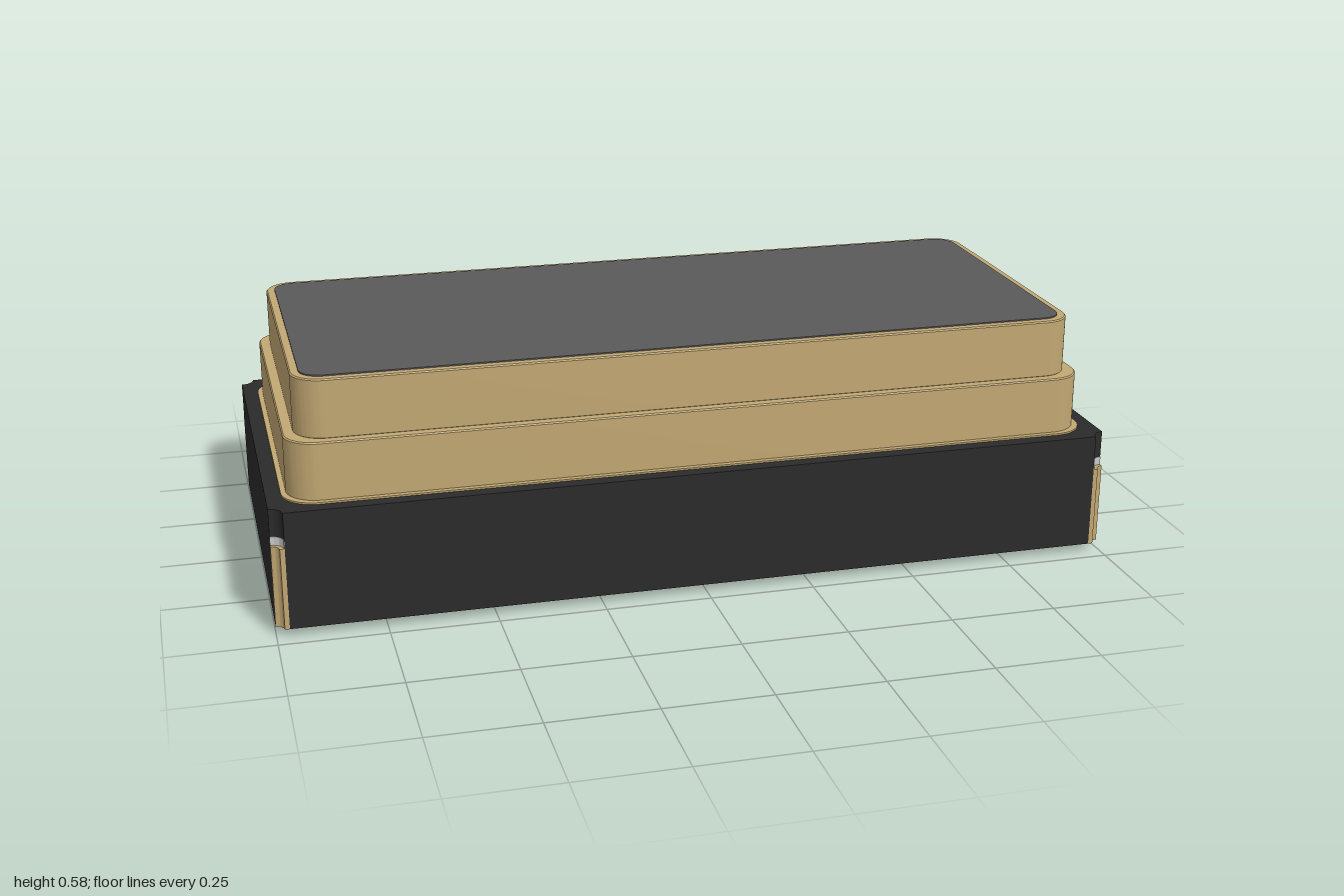
import * as THREE from 'three';
import { toCreasedNormals } from 'three/addons/utils/BufferGeometryUtils.js';

const mat = (color) => new THREE.MeshStandardMaterial({ color });

// Rectangle with rounded corners, half sizes a and b, corner radius r
function roundedRect(a, b, r) {
  const s = new THREE.Shape();
  s.absarc(a - r, b - r, r, 0, Math.PI / 2);
  s.absarc(-a + r, b - r, r, Math.PI / 2, Math.PI);
  s.absarc(-a + r, -b + r, r, Math.PI, Math.PI * 1.5);
  s.absarc(a - r, -b + r, r, Math.PI * 1.5, Math.PI * 2);
  s.closePath();
  return s;
}

// Rectangle with a quarter circle cut out of each corner
function notchedRect(a, b, r) {
  const s = new THREE.Shape(), q = Math.PI / 2;
  s.absarc(a, b, r, -q, -2 * q, true);
  s.absarc(-a, b, r, 0, -q, true);
  s.absarc(-a, -b, r, q, 0, true);
  s.absarc(a, -b, r, 2 * q, q, true);
  s.closePath();
  return s;
}

// Curved strip lining a corner notch
function notchLining(outer, inner) {
  const s = new THREE.Shape();
  s.absarc(0, 0, outer, Math.PI, Math.PI * 1.5);
  s.absarc(0, 0, inner, Math.PI * 1.5, Math.PI, true);
  s.closePath();
  return s;
}

// Upright slab from a floor plan between two heights
function slab(name, shape, y0, y1, material, bevel = 0) {
  const g = new THREE.ExtrudeGeometry(shape, {
    depth: y1 - y0 - 2 * bevel, curveSegments: 10,
    bevelEnabled: bevel > 0, bevelSize: bevel, bevelThickness: bevel,
    bevelOffset: -bevel, bevelSegments: 1,
  });
  g.rotateX(-Math.PI / 2);
  g.translate(0, y0 + bevel, 0);
  const m = new THREE.Mesh(toCreasedNormals(g, 0.5), material);
  m.name = name;
  return m;
}

export function createModel() {
  const model = new THREE.Group();
  model.name = 'electronicPackage';
  const dark = mat(0x2b2b2b), gold = mat(0xc2a873);
  const grey = mat(0x5a5a5a), silver = mat(0xb4b4aa), pale = mat(0xffffff);
  const A = 1, B = 0.466, R = 0.03;

  // Ceramic base with notched corners
  model.add(slab('base', notchedRect(A, B, R), 0.02, 0.3, dark));

  // Stepped metal frame and lid
  model.add(slab('sealRing', roundedRect(0.965, 0.433, 0.08), 0.3, 0.304, gold));
  model.add(slab('lowerFrame', roundedRect(0.953, 0.42, 0.075), 0.3, 0.44, gold, 0.003));
  model.add(slab('upperFrame', roundedRect(0.928, 0.396, 0.07), 0.438, 0.578, gold, 0.003));
  model.add(slab('lid', roundedRect(0.908, 0.375, 0.05), 0.57, 0.581, grey));

  // Plated corner contacts, each with a pale band above it
  for (let i = 0; i < 4; i++) {
    const sx = i === 0 || i === 3 ? 1 : -1, sz = i < 2 ? -1 : 1;
    const corner = new THREE.Group();
    corner.name = 'cornerContact';
    corner.add(slab('plating', notchLining(R, 0.019), 0.02, 0.215, gold));
    corner.add(slab('band', notchLining(R, 0.0285), 0.215, 0.235, pale));
    corner.position.set(sx * A, 0, sz * B);
    corner.rotation.y = i * Math.PI / 2;
    model.add(corner);
  }

  // Solder pads underneath
  for (const side of [-1, 1]) {
    const pad = new THREE.Mesh(new THREE.BoxGeometry(0.375, 0.021, 0.808), silver);
    pad.name = side > 0 ? 'leftPad' : 'rightPad';
    pad.position.set(side * 0.753, 0.0105, 0);
    model.add(pad);
  }
  return model;
}
